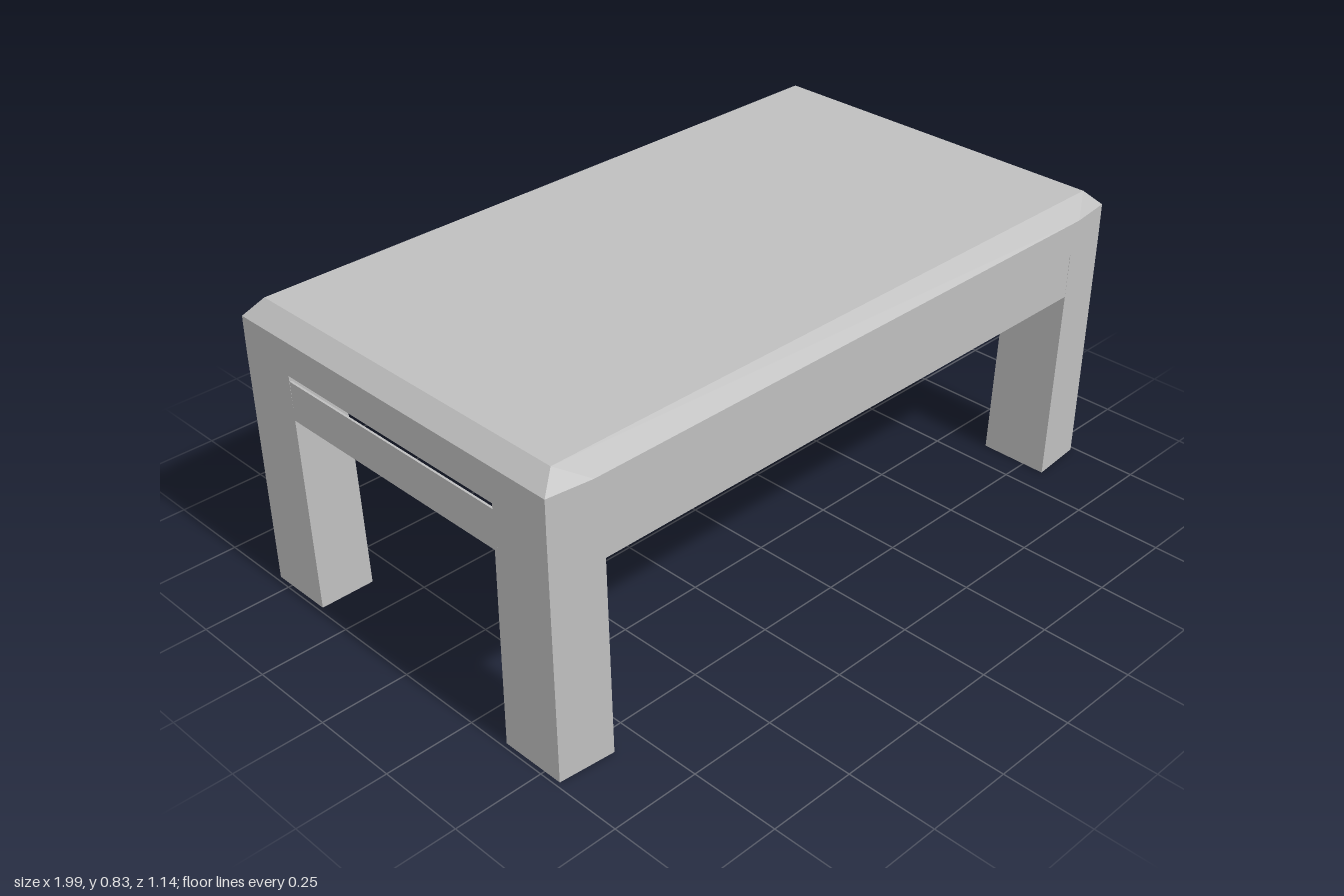
import * as THREE from 'three';
import { ConvexGeometry } from 'three/addons/geometries/ConvexGeometry.js';

const UNDER = 0.69; // underside of the top

export function createModel() {
  const model = new THREE.Group();
  model.name = 'table';
  const grey = new THREE.MeshStandardMaterial({ color: 0xbfbfbf });
  grey.name = 'plain grey';

  const add = (name, geometry) => {
    const mesh = new THREE.Mesh(geometry, grey);
    mesh.name = name;
    model.add(mesh);
    return mesh;
  };
  // solid hull from horizontal rings: [y, [x, z], ...]
  const hull = (rings) => new ConvexGeometry(rings.flatMap(([y, ...pts]) =>
    pts.map(([x, z]) => new THREE.Vector3(x, y, z))));
  // repeat a corner in all four quadrants
  const quad = (pts) => pts.flatMap(([x, z]) => [[x, z], [-x, z], [x, -z], [-x, -z]]);

  // top slab: bevelled upper rim, faintly clipped corners
  const rim = quad([[0.995, 0.555], [0.87, 0.57]]);
  add('tableTop', hull([
    [UNDER, ...rim],
    [0.785, ...rim],
    [0.83, ...quad([[0.947, 0.522]])],
  ]));

  // four slightly tapered corner legs
  for (const sx of [1, -1]) for (const sz of [1, -1]) {
    const at = (pts) => pts.map(([x, z]) => [x * sx, z * sz]);
    add((sz > 0 ? 'front' : 'back') + (sx > 0 ? 'Left' : 'Right') + 'Leg', hull([
      [0, ...at([[0.83, 0.365], [0.988, 0.365], [0.988, 0.552], [0.83, 0.565]])],
      [UNDER, ...at([[0.845, 0.378], [0.995, 0.378], [0.995, 0.555], [0.87, 0.57], [0.845, 0.57]])],
    ]));
  }

  // thin aprons between the legs
  const apron = (name, w, d, x, z, top) => {
    const h = top - 0.565;
    add(name, new THREE.BoxGeometry(w, h, d)).position.set(x, 0.565 + h / 2, z);
  };
  apron('frontApron', 1.7, 0.006, 0, 0.566, UNDER);
  apron('backApron', 1.7, 0.006, 0, -0.566, UNDER);
  apron('leftApron', 0.006, 0.77, 0.991, 0, UNDER);
  // this end rail stops just short of the top
  apron('rightApron', 0.006, 0.77, -0.991, 0, 0.674);

  return model;
}
